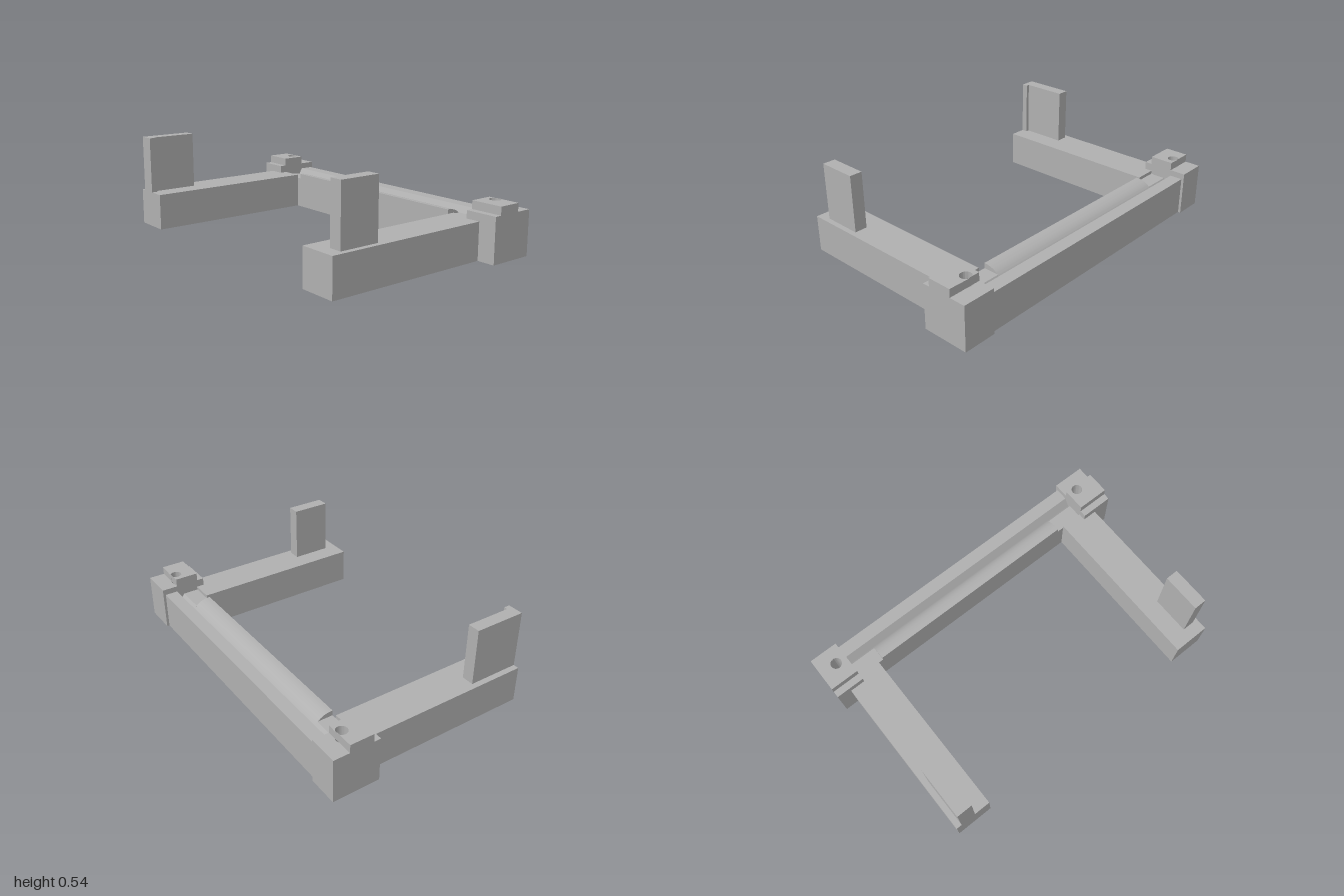
import * as THREE from 'three';
import { toCreasedNormals } from 'three/addons/utils/BufferGeometryUtils.js';

export function createModel() {
  const model = new THREE.Group();
  const grey = new THREE.MeshStandardMaterial({ color: 0xb0b0b0 });
  grey.name = 'plain grey';

  function add(name, geometry, parent = model) {
    const mesh = new THREE.Mesh(geometry, grey);
    mesh.name = name;
    parent.add(mesh);
    return mesh;
  }

  // Box given by its extents
  function box(name, x0, x1, y0, y1, z0, z1, parent) {
    const g = new THREE.BoxGeometry(x1 - x0, y1 - y0, z1 - z0);
    g.translate((x0 + x1) / 2, (y0 + y1) / 2, (z0 + z1) / 2);
    return add(name, g, parent);
  }

  // Horizontal slab with a round vertical hole
  function drilledSlab(name, x0, x1, y0, y1, z0, z1, hx, hz, r, parent) {
    const s = new THREE.Shape();
    s.moveTo(x0, -z0).lineTo(x0, -z1).lineTo(x1, -z1).lineTo(x1, -z0).closePath();
    s.holes.push(new THREE.Path().absarc(hx, -hz, r, 0, Math.PI * 2, true));
    const g = new THREE.ExtrudeGeometry(s, { depth: y1 - y0, bevelEnabled: false, curveSegments: 32 });
    g.rotateX(-Math.PI / 2);
    g.translate(0, y0, 0);
    add(name, toCreasedNormals(g, 0.6), parent);
  }

  // Corner blocks: counterbored from below, with a raised ridge on top
  function cornerBlock(name, x0, x1, hx) {
    const group = new THREE.Group();
    group.name = name;
    const hz = -0.505;
    drilledSlab('blockBase', x0, x1, 0, 0.13, -0.625, -0.355, hx, hz, 0.052, group);
    drilledSlab('blockTop', x0, x1, 0.13, 0.255, -0.625, -0.355, hx, hz, 0.032, group);
    drilledSlab('blockRidge', x0, x1, 0.255, 0.302, -0.532, -0.395, hx, hz, 0.032, group);
    model.add(group);
  }
  cornerBlock('rightCornerBlock', -1, -0.83, -0.895);
  cornerBlock('leftCornerBlock', 0.81, 1, 0.87);

  // Rear bar: groove with a steep back wall and a rounded front lip
  function barSection(name, x0, x1, recessed) {
    const s = new THREE.Shape();
    s.moveTo(0.4, 0).lineTo(0.61, 0).lineTo(0.61, 0.22).lineTo(0.535, 0.22).lineTo(0.505, 0.17);
    if (recessed) s.lineTo(0.49, 0.19).lineTo(0.4, 0.19);
    else s.bezierCurveTo(0.485, 0.2, 0.45, 0.22, 0.4, 0.22);
    s.closePath();
    const g = new THREE.ExtrudeGeometry(s, { depth: x1 - x0, bevelEnabled: false, curveSegments: 16 });
    g.rotateY(Math.PI / 2); // shape x becomes -z, depth becomes +x
    g.translate(x0, 0, 0);
    add(name, toCreasedNormals(g, 0.4));
  }
  barSection('rearBar', -0.67, 0.64, false);
  barSection('rightBarRecess', -0.83, -0.67, true);
  barSection('leftBarRecess', 0.64, 0.81, true);

  // Side arms
  box('rightArm', -0.92, -0.7, 0, 0.21, -0.4, 0.625);
  box('leftArm', 0.68, 0.895, 0, 0.21, -0.4, 0.625);

  // Upright posts; the right one has a small front lip
  box('rightPost', -0.887, -0.817, 0.21, 0.537, 0.325, 0.625);
  box('rightPostLip', -0.817, -0.797, 0.21, 0.537, 0.59, 0.625);
  box('leftPost', 0.792, 0.865, 0.21, 0.537, 0.325, 0.553);

  return model;
}
